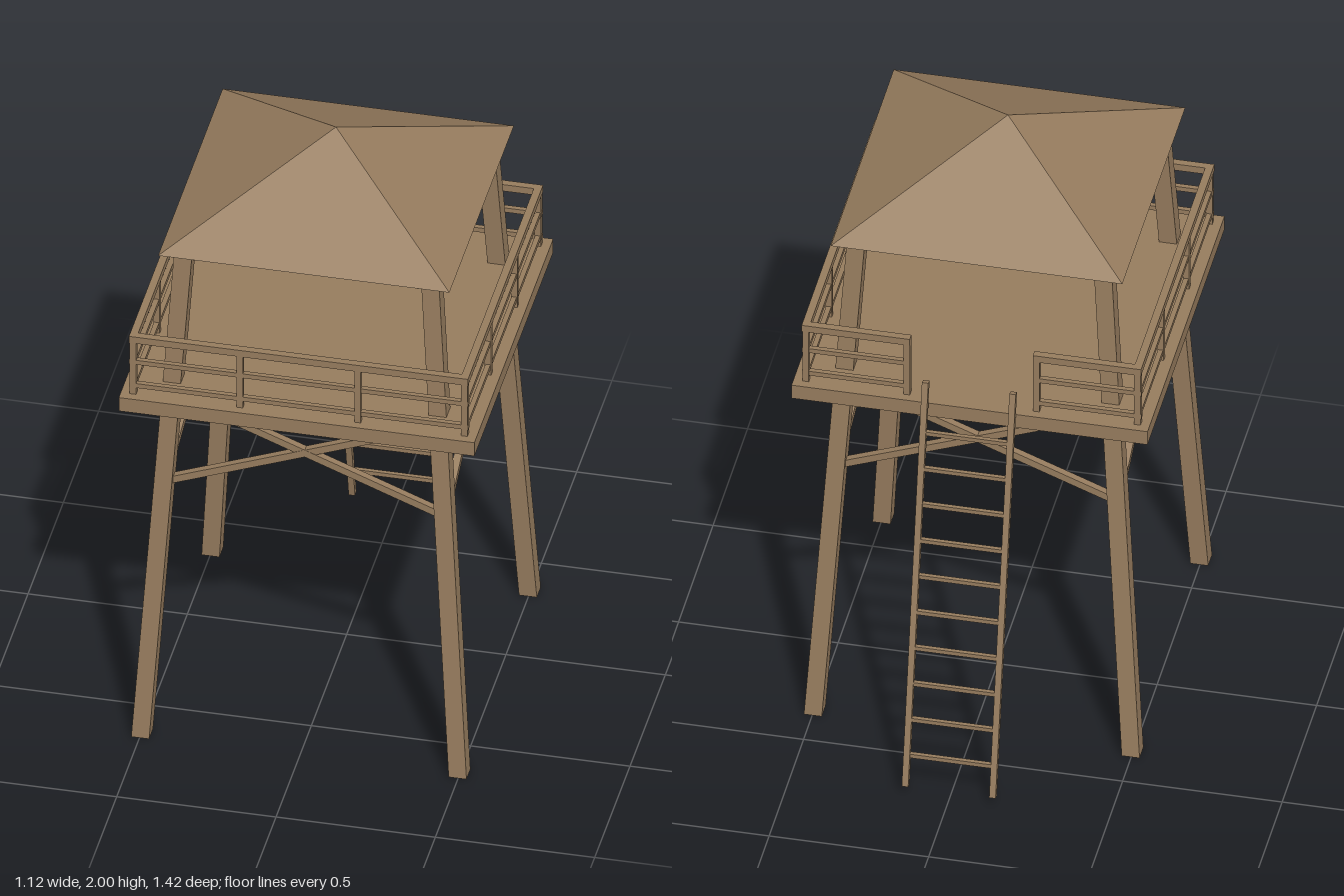
import * as THREE from 'three';

export function createModel() {
  const model = new THREE.Group();
  model.name = 'watchtower';
  const wood = new THREE.MeshStandardMaterial({ color: 0x967c5e });
  wood.name = 'wood';

  const add = (parent, name, geometry) => {
    const mesh = new THREE.Mesh(geometry, wood);
    mesh.name = name;
    parent.add(mesh);
    return mesh;
  };
  const group = (name, parent = model) => {
    const g = new THREE.Group();
    g.name = name;
    parent.add(g);
    return g;
  };
  const box = (parent, name, w, h, d, x, y, z) => {
    const mesh = add(parent, name, new THREE.BoxGeometry(w, h, d));
    mesh.position.set(x, y, z);
    return mesh;
  };
  // Square bar running from point a to point b, in the parent's own frame
  const up = new THREE.Vector3(0, 1, 0);
  const beam = (parent, name, a, b, size) => {
    const from = new THREE.Vector3(...a), to = new THREE.Vector3(...b);
    const mesh = add(parent, name, new THREE.BoxGeometry(size, size, from.distanceTo(to)));
    mesh.quaternion.setFromRotationMatrix(new THREE.Matrix4().lookAt(to, from, up));
    mesh.position.copy(from).add(to).multiplyScalar(0.5);
    return mesh;
  };

  // The tower stands forward of the origin, leaving room for the ladder behind
  const tower = group('tower');
  tower.position.z = 0.151;

  // Legs lean inwards from the ground up to the roof
  const legTop = 1.75;
  const legAt = y => 0.498 - 0.063 * y;
  for (const sx of [-1, 1]) for (const sz of [-1, 1]) {
    const geometry = new THREE.BoxGeometry(0.056, legTop, 0.056);
    geometry.translate(0, legTop / 2, 0);
    const p = geometry.attributes.position;
    for (let i = 0; i < p.count; i++) {
      const c = legAt(p.getY(i));
      p.setX(i, p.getX(i) + sx * c);
      p.setZ(i, p.getZ(i) + sz * c);
    }
    geometry.computeVertexNormals();
    add(tower, 'leg', geometry);
    box(tower, 'legCap', 0.07, 0.03, 0.07, sx * 0.384, 1.749, sz * 0.384);
  }

  // Crossed braces below the platform on all four sides
  for (let side = 0; side < 4; side++) {
    const braces = group('crossBraces', tower);
    braces.rotation.y = side * Math.PI / 2;
    const hi = 1.237, lo = 0.917, a = legAt(hi), b = legAt(lo);
    for (const s of [-1, 1]) beam(braces, 'brace', [s * a, hi, a], [-s * b, lo, b], 0.024);
  }

  // Platform
  box(tower, 'platform', 1.116, 0.05, 1.116, 0, 1.26, 0);

  // Railing: three rails per run, with a gap at the back for the ladder
  const edge = 0.52;
  const rails = [[1.488, 0.024], [1.403, 0.016], [1.316, 0.016]];
  const railing = (name, turn, runs, posts) => {
    const g = group(name, tower);
    g.rotation.y = turn;
    for (const [x0, x1] of runs) for (const [y, t] of rails)
      box(g, 'rail', x1 - x0, t, t, (x0 + x1) / 2, y, edge);
    for (const x of posts) box(g, 'railPost', 0.02, 0.2, 0.02, x, 1.383, edge);
  };
  const end = edge + 0.012, gap = 0.193;
  railing('frontRailing', 0, [[-end, end]], [-edge, -0.185, 0.185, edge]);
  railing('leftRailing', Math.PI / 2, [[-edge, edge]], [-0.185, 0.185]);
  railing('rightRailing', -Math.PI / 2, [[-edge, edge]], [-0.185, 0.185]);
  railing('backRailing', Math.PI, [[-end, -gap], [gap, end]], [-edge, -0.203, 0.203, edge]);

  // Pyramid roof with flat faces
  let roofShape = new THREE.ConeGeometry(0.457 * Math.SQRT2, 0.238, 4);
  roofShape.rotateY(Math.PI / 4);
  roofShape = roofShape.toNonIndexed();
  roofShape.computeVertexNormals();
  add(tower, 'roof', roofShape).position.y = 2 - 0.238 / 2;

  // Ladder leaning against the back of the platform
  const ladder = group('ladder');
  const low = [0.03, -0.7], high = [1.367, -0.408];
  for (const s of [-1, 1])
    beam(ladder, 'ladderRail', [s * 0.137, ...low], [s * 0.137, ...high], 0.02);
  const slope = (high[1] - low[1]) / (high[0] - low[0]);
  for (let i = 0; i < 10; i++) {
    const y = 0.133 + i * 0.1185;
    const z = low[1] + (y - low[0]) * slope;
    box(ladder, 'rung', 0.27, 0.014, 0.014, 0, y, z);
  }

  return model;
}
